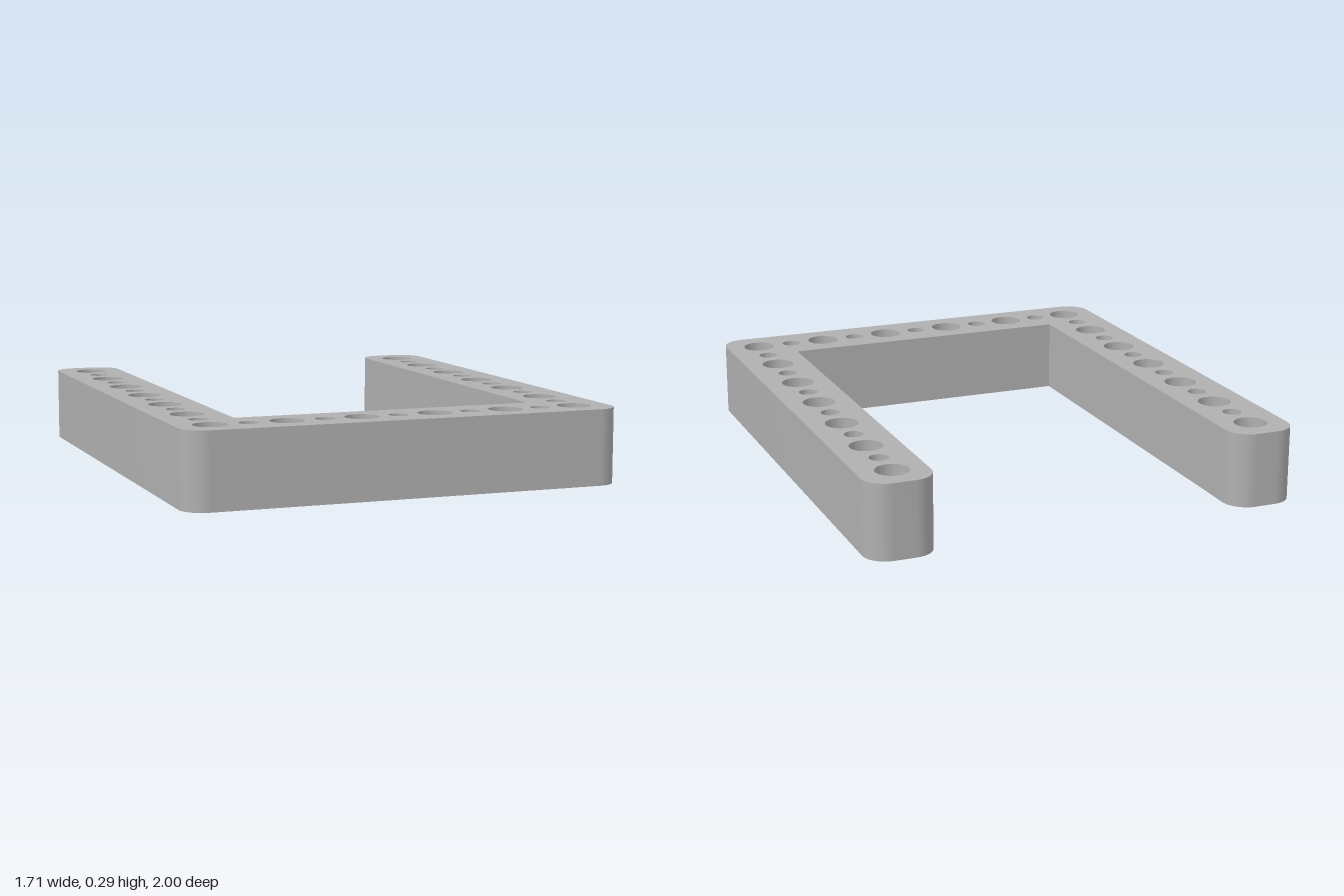
import * as THREE from 'three';
import { toCreasedNormals } from 'three/addons/utils/BufferGeometryUtils.js';

const HEIGHT = 0.29, HALF_W = 0.855, INNER_X = 0.59, INNER_Z = 0.73;
const CORNER = 0.09, PITCH = 0.2887, HOLE_X = 0.7217, HOLE_Z = 0.866;
const BIG = 0.064, SMALL = 0.037;

// U-shaped outline, drawn in plan with shape y = -z
function frameOutline() {
  const s = new THREE.Shape();
  const w = HALF_W, i = INNER_X, r = CORNER, q = Math.PI / 2;
  s.moveTo(-w + r, -1);
  s.absarc(w - r, -1 + r, r, -q, 0);
  s.absarc(w - r, 1 - r, r, 0, q);
  s.absarc(i + r, 1 - r, r, q, 2 * q);
  s.lineTo(i, -INNER_Z);
  s.lineTo(-i, -INNER_Z);
  s.absarc(-i - r, 1 - r, r, 0, q);
  s.absarc(-w + r, 1 - r, r, q, 2 * q);
  s.absarc(-w + r, -1 + r, r, 2 * q, 3 * q);
  return s;
}

function addHole(shape, x, z, radius) {
  const hole = new THREE.Path();
  hole.absarc(x, -z, radius, 0, Math.PI * 2, true);
  shape.holes.push(hole);
}

export function createModel() {
  const grey = new THREE.MeshStandardMaterial({ color: 0xb0b0b0 });
  grey.name = 'grey';

  const shape = frameOutline();
  // arms: alternating large and small through holes, corner to tip
  for (const side of [-1, 1])
    for (let k = 0; k <= 12; k++)
      addHole(shape, side * HOLE_X, HOLE_Z - k * PITCH / 2, k % 2 ? SMALL : BIG);
  // crossbar: the same rhythm between the corner holes
  for (let k = 1; k <= 9; k++)
    addHole(shape, -HOLE_X + k * PITCH / 2, HOLE_Z, k % 2 ? SMALL : BIG);

  let geometry = new THREE.ExtrudeGeometry(shape, { depth: HEIGHT, bevelEnabled: false, curveSegments: 24 });
  geometry.rotateX(-Math.PI / 2);
  geometry = toCreasedNormals(geometry, 0.6);

  const frame = new THREE.Mesh(geometry, grey);
  frame.name = 'perforatedFrame';
  const model = new THREE.Group();
  model.name = 'uFrame';
  model.add(frame);
  return model;
}
